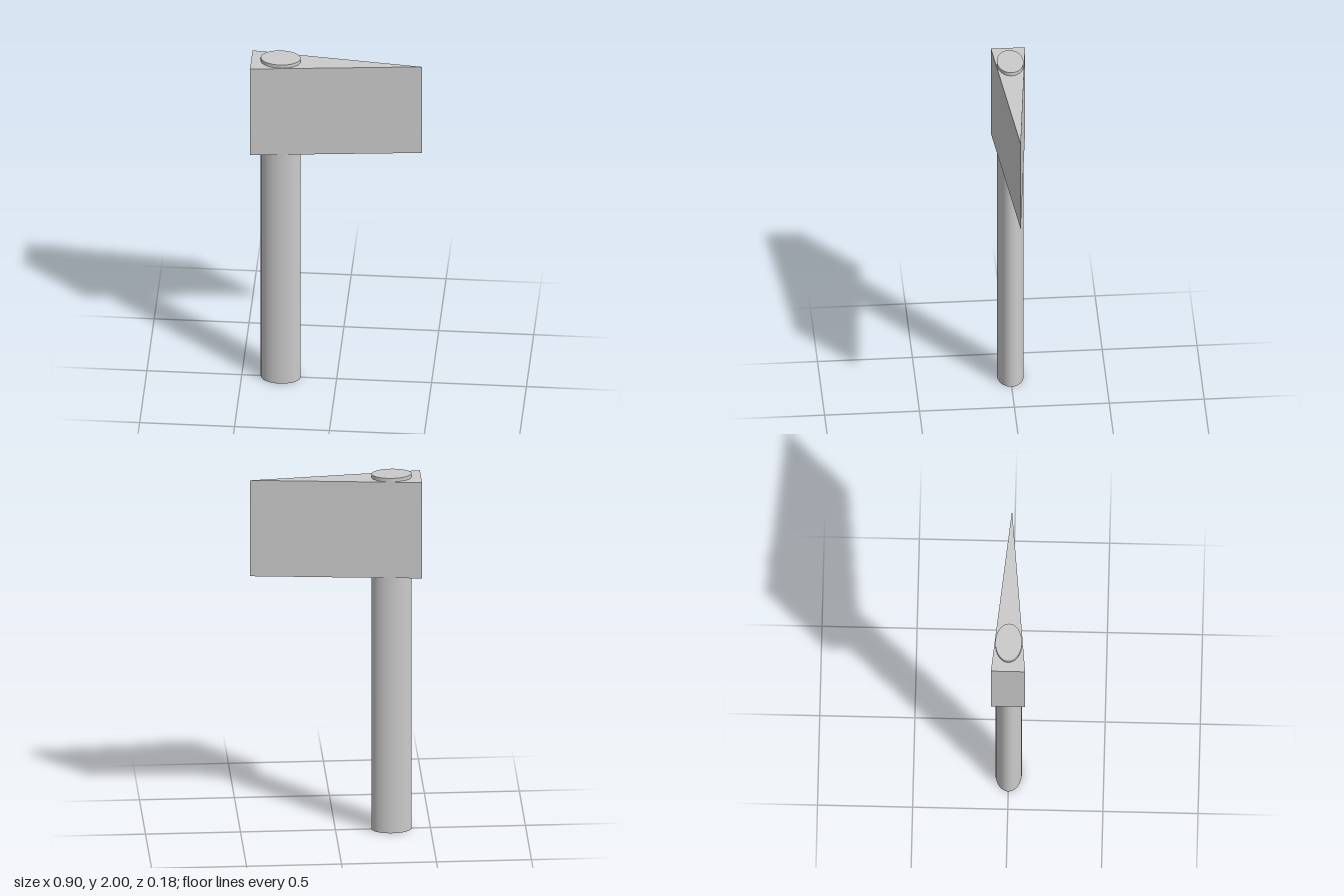
import * as THREE from 'three';

export function createModel() {
  const model = new THREE.Group();
  const material = new THREE.MeshStandardMaterial({ color: 0xcccccc });

  // Straight handle with an oval section, poking just above the head
  const handleGeometry = new THREE.CylinderGeometry(1, 1, 2, 48);
  handleGeometry.scale(0.105, 1, 0.07);
  const handle = new THREE.Mesh(handleGeometry, material);
  handle.name = 'handle';
  handle.position.set(-0.295, 1, 0);

  // Wedge head: flat poll at -x, tapering to the cutting edge at +x
  const wedge = new THREE.Shape([
    new THREE.Vector2(-0.45, -0.09),
    new THREE.Vector2(0.45, 0),
    new THREE.Vector2(-0.45, 0.09),
  ]);
  const headGeometry = new THREE.ExtrudeGeometry(wedge, { depth: 0.54, bevelEnabled: false });
  headGeometry.rotateX(-Math.PI / 2);
  const head = new THREE.Mesh(headGeometry, material);
  head.name = 'axeHead';
  head.position.y = 1.44;

  model.add(handle, head);
  return model;
}
